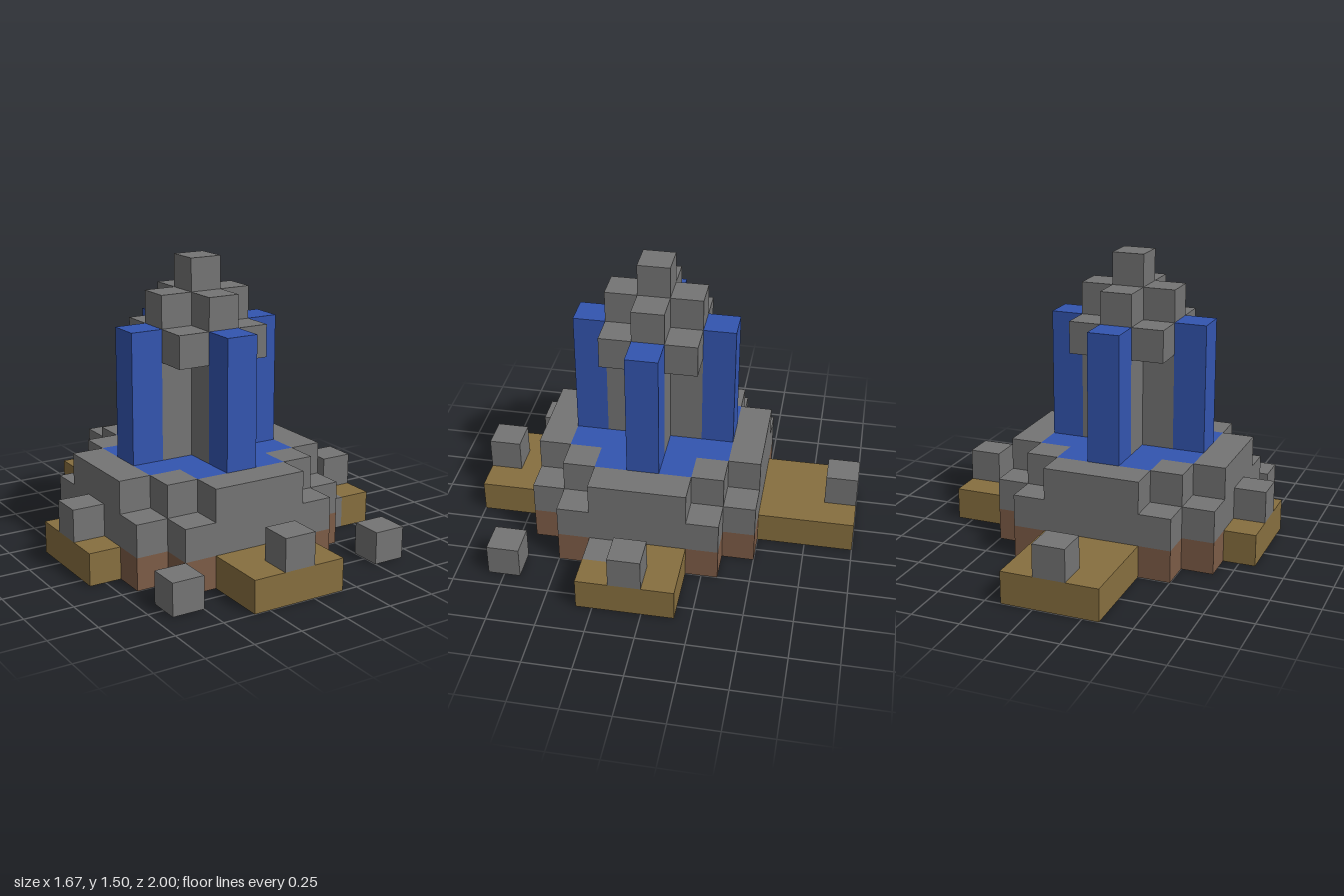
import * as THREE from 'three';

const CELL = 1 / 6; // everything below is measured in cube cells

const material = (name, color) => {
  const m = new THREE.MeshStandardMaterial({ color });
  m.name = name;
  return m;
};

export function createModel() {
  const stone = material('stone grey', 0x747474);
  const water = material('water blue', 0x3355b0);
  const path = material('path ochre', 0x876f3f);
  const earth = material('earth brown', 0x7d5c47);

  const model = new THREE.Group();
  model.name = 'fountain';
  const cells = new THREE.Group();
  cells.name = 'fountainBlocks';
  cells.scale.setScalar(CELL);
  cells.position.set(-0.5 * CELL, 0, 0.5 * CELL); // fountain axis sits half a cell off centre
  model.add(cells);

  const add = (name, geometry, mat) => {
    const mesh = new THREE.Mesh(geometry, mat);
    mesh.name = name;
    cells.add(mesh);
    return mesh;
  };

  // Box centred on cell (x, z), standing on level y
  const block = (name, mat, x, y, z, w = 1, h = 1, d = 1) =>
    add(name, new THREE.BoxGeometry(w, h, d), mat).position.set(x, y + h / 2, z);

  // Stepped slab: one quadrant of its plan, mirrored into all four
  const slab = (name, mat, quadrant, y, h) => {
    const back = [...quadrant].reverse();
    const outline = [
      ...quadrant,
      ...back.map(([a, b]) => [-a, b]),
      ...quadrant.map(([a, b]) => [-a, -b]),
      ...back.map(([a, b]) => [a, -b]),
    ].map(([a, b]) => new THREE.Vector2(a, b));
    const geometry = new THREE.ExtrudeGeometry(new THREE.Shape(outline), { depth: h, bevelEnabled: false });
    geometry.rotateX(-Math.PI / 2);
    add(name, geometry, mat).position.y = y;
  };

  // Foundation, basin and water
  const broad = [[3.5, 2.5], [2.5, 2.5], [2.5, 3.5]];
  slab('foundation', earth, broad, 0, 1);
  slab('basinFloor', stone, broad, 1, 1);
  slab('waterPool', water, [[2.5, 1.5], [1.5, 1.5], [1.5, 2.5]], 2, 1);
  for (const s of [-1, 1]) {
    block('basinSideWall', stone, 3 * s, 2, 0, 1, 1, 3);
    block('basinEndWall', stone, 0, 2, 3 * s, 3, 1, 1);
    for (const t of [-1, 1]) block('basinCorner', stone, 2 * s, 2, 2 * t);
  }

  // Spire with four falling streams
  const cross = [[1.5, 0.5], [0.5, 0.5], [0.5, 1.5]];
  slab('spireCore', stone, cross, 3, 3);
  block('spireCap', stone, 0, 6, 0, 3, 1, 3);
  slab('spireCrown', stone, cross, 7, 1);
  block('spireTip', stone, 0, 8, 0);
  for (const s of [-1, 1]) {
    block('sideStream', water, 2 * s, 3, 0, 1, 4, 1);
    block('endStream', water, 0, 3, 2 * s, 1, 4, 1);
  }

  // Paths: the left one has a stone corner set into it
  block('frontPath', path, 0, 0, 4.5, 3, 1, 2);
  block('backPath', path, 0, 0, -5, 3, 1, 3);
  block('rightPath', path, -4, 0, 0, 1, 1, 3);
  block('leftPathInner', path, 4, 0, -0.5, 1, 1, 2);
  block('leftPathOuter', path, 5, 0, 0, 1, 1, 3);
  block('pathStone', stone, 4, 0, 1);

  // Posts at the path ends and loose stones on the ground
  for (const [x, z] of [[0, 5], [0, -6], [-4, 0], [5, 0]]) block('pathPost', stone, x, 1, z);
  for (const x of [-3, 4]) block('looseStone', stone, x, 0, 4);

  return model;
}
